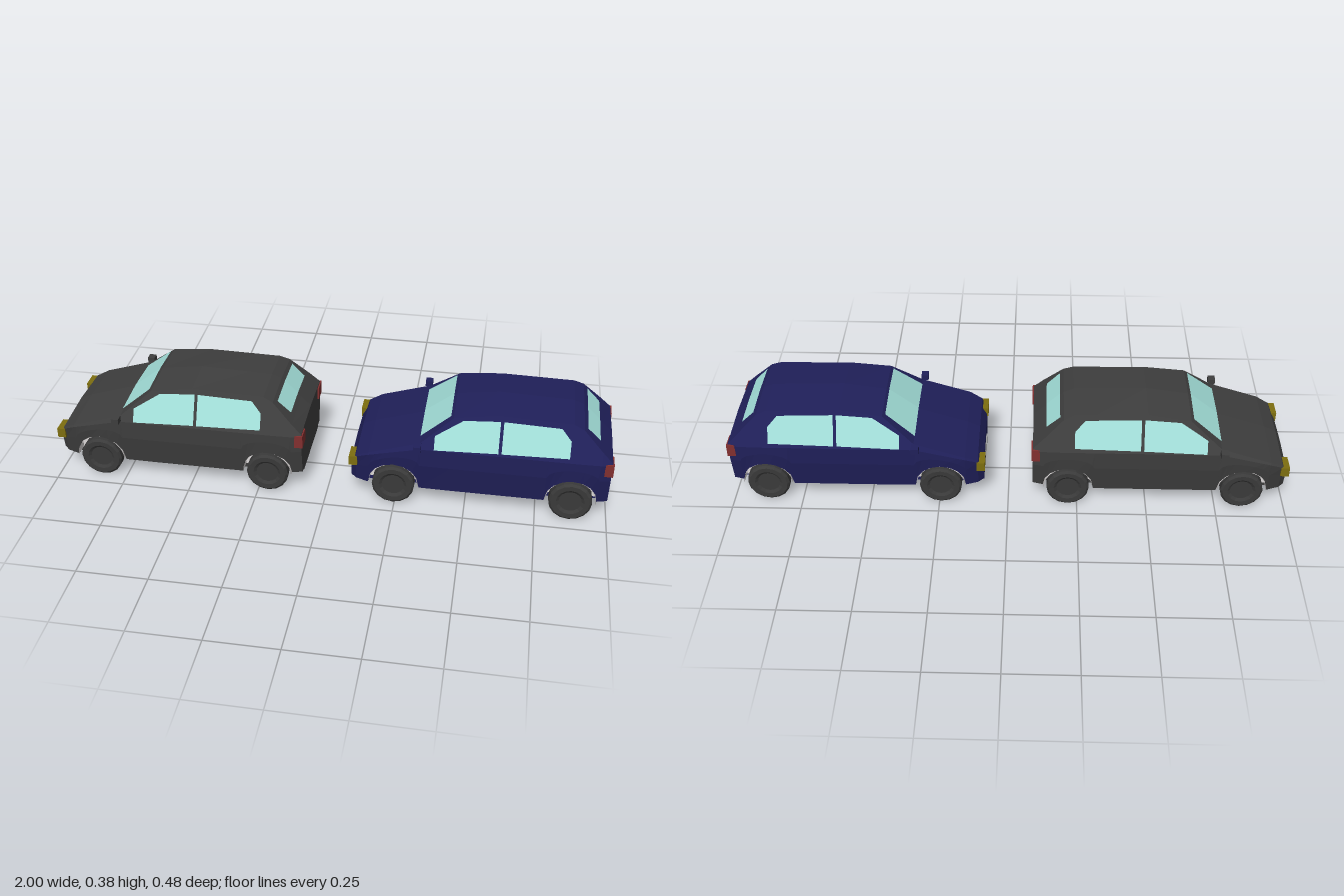
import * as THREE from 'three';

const mat = (name, color, side = THREE.FrontSide) => {
  const m = new THREE.MeshStandardMaterial({ color, flatShading: true, side });
  m.name = name;
  return m;
};

// Helper: flat triangles from a list of [x, y, z] corners
function triangles(list) {
  const g = new THREE.BufferGeometry();
  g.setAttribute('position', new THREE.Float32BufferAttribute(list.flat(), 3));
  g.computeVertexNormals();
  return g;
}

// Helper: convex panel as a fan from its first corner
function panel(corners) {
  const list = [];
  for (let i = 1; i < corners.length - 1; i++) list.push(corners[0], corners[i], corners[i + 1]);
  return triangles(list);
}

const WHEELS = [-0.84, -0.215], HUB = 0.077, ARCH = 0.09;
const SLOPE = 0.47; // inward lean of the cabin sides

// Key stations along the car: x, sill y, belt y, half width, roof edge y, roof centre y
const KEYS = [
  [-0.995, 0.078, 0.145, 0.172, 0.152, 0.16],
  [-0.975, 0.075, 0.18, 0.19, 0.187, 0.197],
  [-0.93, 0.07, 0.2, 0.202, 0.208, 0.218],
  [-0.75, 0.068, 0.245, 0.206, 0.265, 0.275],
  [-0.64, 0.067, 0.245, 0.206, 0.354, 0.362],
  [-0.49, 0.067, 0.245, 0.206, 0.373, 0.383],
  [-0.23, 0.067, 0.245, 0.206, 0.367, 0.375],
  [-0.195, 0.068, 0.245, 0.206, 0.352, 0.36],
  [-0.125, 0.078, 0.242, 0.2, 0.284, 0.291],
  [-0.088, 0.08, 0.24, 0.192, 0.248, 0.257],
];

function keyAt(x) {
  let i = 0;
  while (i < KEYS.length - 2 && x > KEYS[i + 1][0]) i++;
  const a = KEYS[i], b = KEYS[i + 1], t = (x - a[0]) / (b[0] - a[0]);
  return a.map((v, k) => v + (b[k] - v) * t);
}

// Half cross-section, from the floor centre round the side to the roof centre
function section(x) {
  const [, sill, belt, w, edge, top] = keyAt(x);
  let low = sill;
  for (const c of WHEELS) {
    const d = Math.abs(x - c);
    if (d < ARCH + 1e-6) low = HUB + Math.sqrt(Math.max(0, ARCH * ARCH - d * d));
  }
  const side = y => w - 0.02 * THREE.MathUtils.clamp((0.19 - y) / 0.12, 0, 1);
  const crease = low + (belt - low) * 0.6;
  const floor = sill - 0.01;
  const half = [
    [floor, 0], [floor, 0.145], [low, 0.145], [low, side(low)], [crease, side(crease)],
    [belt, w], [edge, w - (edge - belt) * SLOPE], [top, 0],
  ];
  return half.map(([y, z]) => [x, y, z]);
}

// Body shell lofted through all stations, with wheel arches cut in
function bodyGeometry() {
  const xs = KEYS.map(k => k[0]);
  for (const c of WHEELS) {
    xs.push(c - ARCH - 0.002, c + ARCH + 0.002);
    for (let k = 0; k <= 8; k++) xs.push(c - ARCH * Math.cos(k * Math.PI / 8));
  }
  xs.sort((a, b) => a - b);
  const flip = ([x, y, z]) => [x, y, -z];
  const halves = xs.filter((x, i) => !i || x - xs[i - 1] > 1e-4).map(section);
  const rings = halves.map(h => [...h, ...h.slice(0, -1).reverse().map(flip)]);
  const list = [];
  for (let i = 0; i < rings.length - 1; i++) {
    for (let j = 0; j < rings[i].length - 1; j++) {
      const p = rings[i][j], q = rings[i][j + 1], r = rings[i + 1][j + 1], s = rings[i + 1][j];
      list.push(p, s, r, p, r, q);
    }
  }
  // Nose and tail faces
  const cap = (h, front) => {
    for (let j = 0; j < h.length - 1; j++) {
      const a = h[j], b = h[j + 1], c = flip(b), d = flip(a);
      list.push(...(front ? [a, b, c, a, c, d] : [a, c, b, a, d, c]));
    }
  };
  cap(halves[0], true);
  cap(halves[halves.length - 1], false);
  return triangles(list);
}

// Side window from [x, y] corners, laid on the leaning cabin side
const sideWindow = (pts, s) =>
  panel(pts.map(([x, y]) => [x, y, s * (0.206 - (y - 0.245) * SLOPE + 0.003)]));

// Front or rear glass, slightly raised along its middle: [x, centre y, edge y, half width]
function screen([x0, c0, e0, z0], [x1, c1, e1, z1]) {
  return panel([[x0, c0, 0], [x0, e0, z0], [x1, e1, z1], [x1, c1, 0], [x1, e1, -z1], [x0, e0, -z0]]);
}

function wheelGeometry() {
  const profile = [
    [0, -0.016], [0.04, -0.016], [0.05, -0.023], [0.068, -0.024], [0.076, -0.017],
    [0.076, 0.017], [0.068, 0.024], [0.05, 0.023], [0.04, 0.016], [0, 0.016],
  ].map(p => new THREE.Vector2(...p));
  return new THREE.LatheGeometry(profile, 16).rotateX(Math.PI / 2);
}

export function createModel() {
  const glass = mat('window glass', 0xa3e0da, THREE.DoubleSide);
  const rubber = mat('wheel grey', 0x3a3a3a);
  const liner = mat('arch white', 0xdcd8d8, THREE.DoubleSide);
  const yellow = mat('headlight yellow', 0x7d6e10);
  const red = mat('tail light red', 0x822f2f);
  const plate = mat('plate grey', 0x9a9a9a);
  const paints = [mat('charcoal paint', 0x3e3e3e), mat('navy paint', 0x20205a)];

  const body = bodyGeometry(), wheel = wheelGeometry();
  const archBand = new THREE.CylinderGeometry(0.088, 0.088, 0.048, 16, 1, true, Math.PI / 2, Math.PI)
    .rotateX(Math.PI / 2);
  const archRing = new THREE.RingGeometry(0.07, 0.088, 16, 1, 0, Math.PI);

  function car(paint, name) {
    const g = new THREE.Group();
    g.name = name;
    const add = (part, geo, m, x = 0, y = 0, z = 0) => {
      const mesh = new THREE.Mesh(geo, m);
      mesh.name = part;
      mesh.position.set(x, y, z);
      g.add(mesh);
    };
    const box = (part, m, size, at) => add(part, new THREE.BoxGeometry(...size), m, ...at);

    add('body', body, paint);
    add('windscreen', screen([-0.752, 0.279, 0.271, 0.158], [-0.65, 0.36, 0.353, 0.14]), glass);
    add('rearWindow', screen([-0.135, 0.306, 0.301, 0.13], [-0.182, 0.352, 0.347, 0.134]), glass);

    for (const s of [1, -1]) {
      add('frontSideWindow', sideWindow([[-0.70, 0.248], [-0.478, 0.255], [-0.478, 0.357],
        [-0.605, 0.35], [-0.70, 0.294]], s), glass);
      add('rearSideWindow', sideWindow([[-0.467, 0.255], [-0.235, 0.26], [-0.235, 0.315],
        [-0.27, 0.352], [-0.467, 0.357]], s), glass);
      box('headlight', yellow, [0.03, 0.036, 0.064], [-0.985, 0.163, s * 0.162]);
      box('tailLight', red, [0.03, 0.048, 0.058], [-0.098, 0.221, s * 0.168]);
      box('mirror', paint, [0.026, 0.021, 0.029], [-0.757, 0.263, s * 0.2245]);
      for (const x of WHEELS) {
        add('wheel', wheel, rubber, x, 0.076, s * 0.176);
        add('archLiner', archBand, liner, x, HUB, s * 0.174);
        add('archBack', archRing, liner, x, HUB, s * 0.149);
      }
    }
    box('numberPlate', plate, [0.006, 0.026, 0.1], [-0.996, 0.112, 0]);
    return g;
  }

  const model = new THREE.Group();
  model.name = 'twoCars';
  const first = car(paints[0], 'charcoalCar');
  const second = car(paints[1], 'navyCar');
  second.position.x = 1.083;
  model.add(first, second);
  return model;
}
